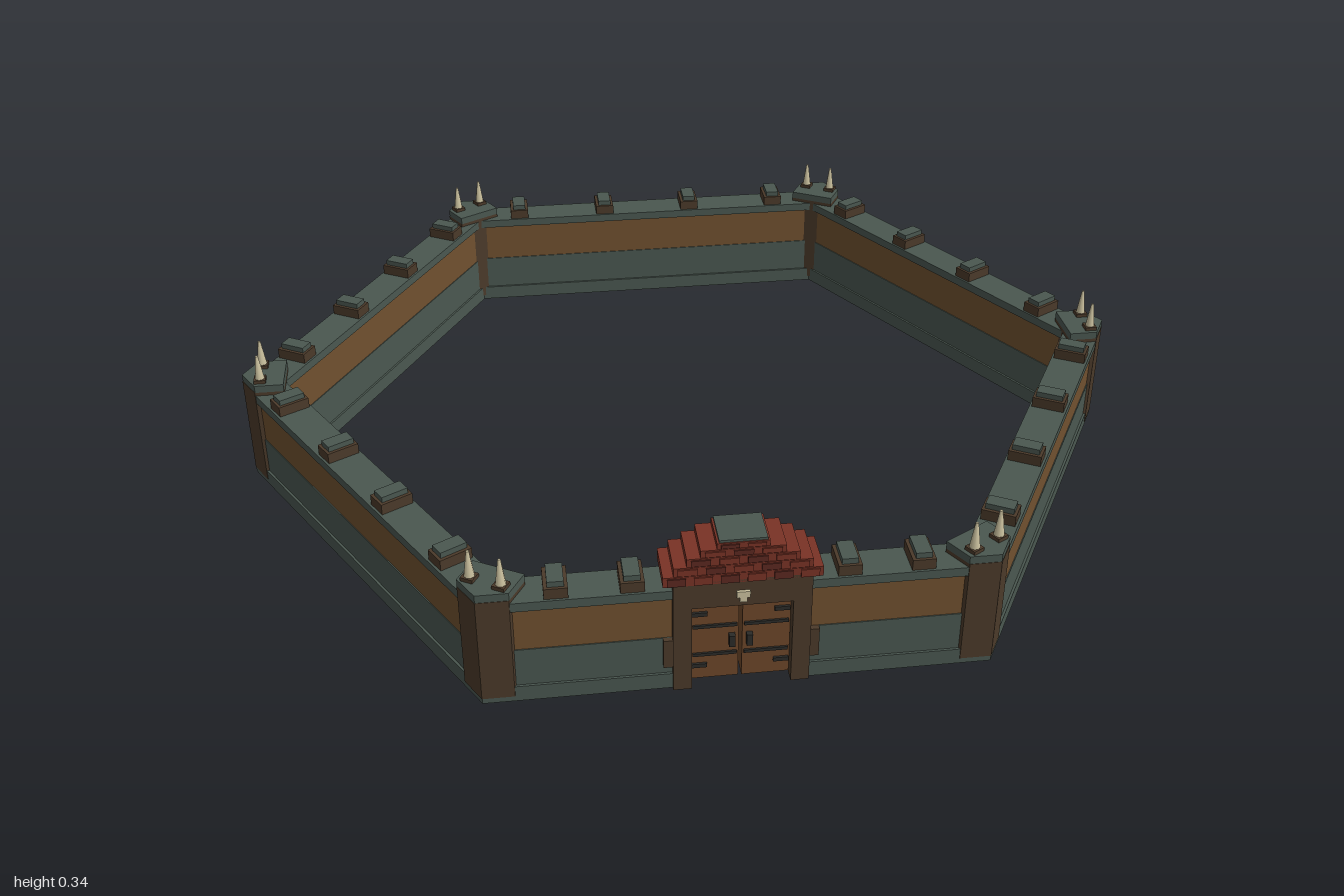
import * as THREE from 'three';

const mat = (name, color) => {
  const m = new THREE.MeshStandardMaterial({ color });
  m.name = name;
  return m;
};

export function createModel() {
  const stone = mat('slate stone', 0x4a5750);
  const plank = mat('plank brown', 0x70502f);
  const timber = mat('dark timber', 0x4b3a2a);
  const doorWood = mat('door wood', 0x6e472a);
  const tile = mat('red tile', 0x7a3326);
  const darkTile = mat('dark red tile', 0x5c2820);
  const iron = mat('dark iron', 0x2b2b28);
  const bone = mat('bone', 0xcdc3a0);

  const IN = 0.786, OUT = 0.866, MID = (IN + OUT) / 2;
  const T = Math.tan(Math.PI / 6);
  const fort = new THREE.Group();
  fort.name = 'hexagonalFort';

  const add = (parent, name, geo, material, x = 0, y = 0, z = 0) => {
    const m = new THREE.Mesh(geo, material);
    m.name = name;
    m.position.set(x, y, z);
    parent.add(m);
    return m;
  };
  // box given by its centre in x and z and its vertical range
  const box = (parent, name, material, w, d, y0, y1, x, z) =>
    add(parent, name, new THREE.BoxGeometry(w, y1 - y0, d), material, x, (y0 + y1) / 2, z);
  // upright prism over a floor plan of [x, z] points
  const prism = (parent, name, material, plan, y0, y1) => {
    const shape = new THREE.Shape(plan.map(([x, z]) => new THREE.Vector2(x, -z)));
    const geo = new THREE.ExtrudeGeometry(shape, { depth: y1 - y0, bevelEnabled: false });
    geo.rotateX(-Math.PI / 2);
    return add(parent, name, geo, material, 0, y0, 0);
  };

  // wall courses: name, material, inset on both faces, bottom, top
  const courses = [
    ['wallPlinth', stone, 0, 0, 0.035],
    ['wallBase', stone, 0.005, 0.035, 0.12],
    ['wallPlanks', plank, 0.007, 0.12, 0.215],
    ['wallWalk', stone, 0, 0.215, 0.235],
  ];

  for (let k = 0; k < 6; k++) {
    const side = new THREE.Group();
    side.name = k === 0 ? 'gateWall' : 'wall';
    side.rotation.y = Math.PI / 6 + k * Math.PI / 3;
    fort.add(side);
    const gap = 0.12;
    for (const [name, m, inset, y0, y1] of courses) {
      const a = IN + inset, b = OUT - inset;
      if (k > 0) {
        prism(side, name, m, [[-a * T, a], [a * T, a], [b * T, b], [-b * T, b]], y0, y1);
      } else {
        for (const s of [-1, 1])
          prism(side, name, m, [[s * gap, a], [s * a * T, a], [s * b * T, b], [s * gap, b]], y0, y1);
      }
    }
    // battlements
    const spots = k === 0 ? [-0.35, -0.207, 0.207, 0.35] : [-0.345, -0.115, 0.115, 0.345];
    for (const x of spots) {
      box(side, 'merlon', timber, 0.046, 0.07, 0.235, 0.258, x, MID);
      box(side, 'merlonCap', stone, 0.032, 0.058, 0.258, 0.27, x, MID);
    }
    if (k === 0) buildGate(side);
  }

  // corner posts with paired spikes
  for (let k = 0; k < 6; k++) {
    const corner = new THREE.Group();
    corner.name = 'cornerPost';
    corner.rotation.y = k * Math.PI / 3;
    fort.add(corner);
    const w = 0.055, plan = (o) => [[-w, 0.905], [w, 0.905], [w, 1 - w * T + o], [0, 1 + o], [-w, 1 - w * T + o]];
    prism(corner, 'postBody', timber, plan(0.001), 0.012, 0.243);
    prism(corner, 'postCap', stone, plan(0), 0.243, 0.26);
    for (const s of [-1, 1]) {
      box(corner, 'spikeSocket', timber, 0.026, 0.026, 0.26, 0.268, s * 0.033, 0.957);
      add(corner, 'spike', new THREE.CylinderGeometry(0.003, 0.011, 0.058, 8), bone, s * 0.033, 0.295, 0.957);
    }
  }

  function buildGate(side) {
    const gate = new THREE.Group();
    gate.name = 'gate';
    gate.position.z = MID;
    side.add(gate);
    const D = 0.096;
    // frame
    for (const s of [-1, 1]) {
      box(gate, 'gatePost', timber, 0.036, D, 0, 0.2, s * 0.115, 0);
      box(gate, 'gateButtress', timber, 0.018, D - 0.006, 0.055, 0.12, s * 0.142, 0);
    }
    box(gate, 'gateLintel', timber, 0.266, D, 0.195, 0.256, 0, 0);
    // door leaves with straps and handles
    for (const s of [-1, 1]) {
      const x = s * 0.05;
      box(gate, 'doorLeaf', doorWood, 0.093, 0.05, 0.006, 0.194, x, 0);
      for (const y of [0.062, 0.13])
        box(gate, 'doorStrap', iron, 0.086, 0.006, y, y + 0.007, x, 0.026);
      box(gate, 'doorHandle', iron, 0.012, 0.014, 0.086, 0.112, s * 0.017, 0.03);
      for (const y of [0.035, 0.16])
        box(gate, 'doorHinge', iron, 0.03, 0.006, y, y + 0.009, s * 0.08, 0.027);
    }
    // bone ornament above the doors
    box(gate, 'ornamentTop', bone, 0.026, 0.008, 0.217, 0.231, 0, D / 2 + 0.002);
    box(gate, 'ornamentBottom', bone, 0.014, 0.008, 0.207, 0.217, 0, D / 2 + 0.002);
    // stepped roof in rows of tiles
    const rows = [[0.152, 0.25, 0.272], [0.132, 0.272, 0.291], [0.107, 0.291, 0.309], [0.081, 0.309, 0.325], [0.05, 0.325, 0.338]];
    rows.forEach(([half, y0, y1], i) => {
      box(gate, 'roofRow', tile, half * 2, D - i * 0.003, y0, y1, 0, 0);
      const n = 6 - i;
      for (let j = 0; j < n; j++) {
        const x = ((j + 0.5) / n * 2 - 1) * half;
        for (const f of [-1, 1])
          box(gate, 'roofTile', (i + j) % 2 ? tile : darkTile, half / n * 1.4, 0.006, y0 + 0.002, y1 - 0.003, x, f * (D - i * 0.003) / 2);
      }
    });
    box(gate, 'roofRidge', stone, 0.092, D - 0.016, 0.338, 0.343, 0, 0);
  }

  return fort;
}
